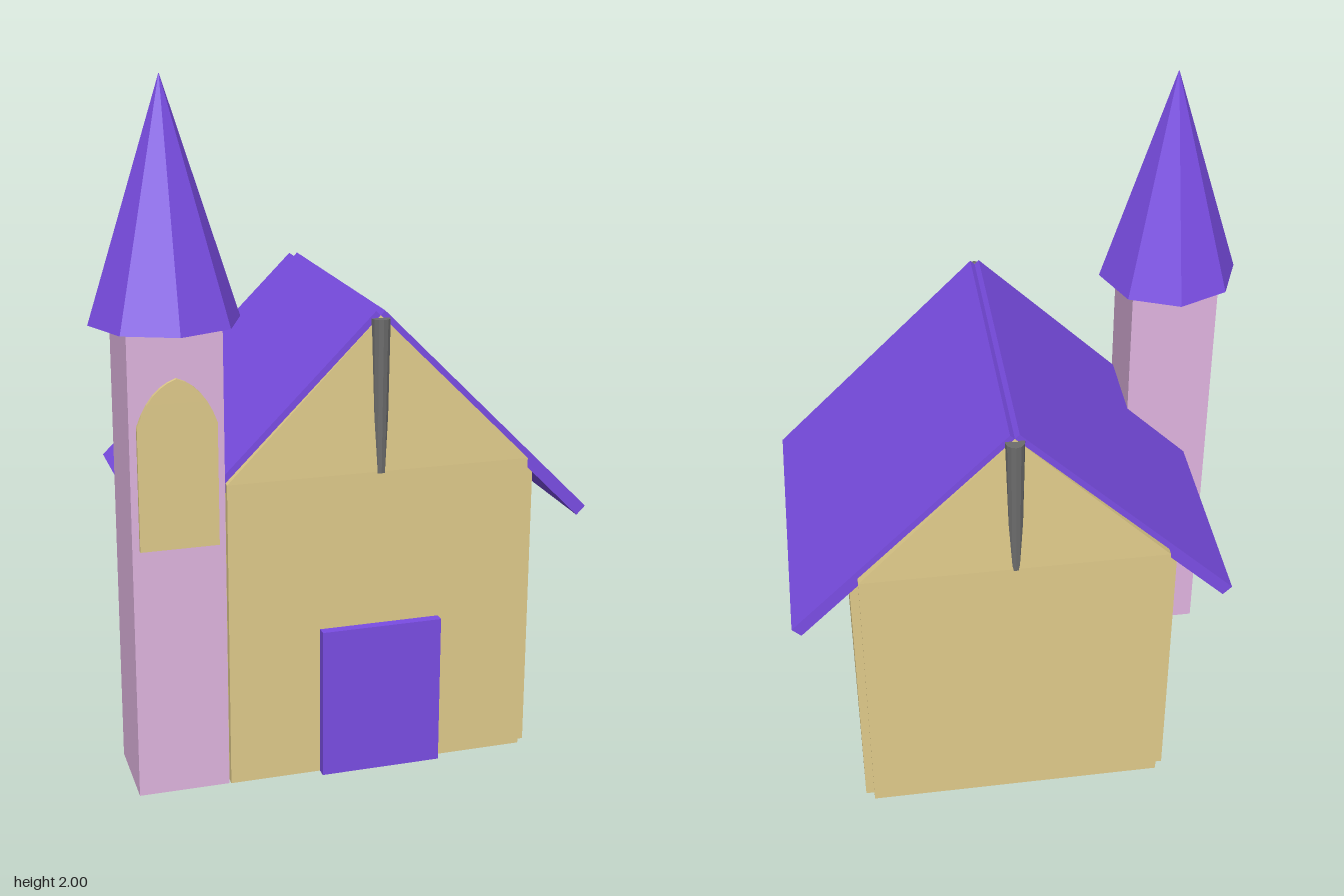
import * as THREE from 'three';

const mat = (color) => new THREE.MeshStandardMaterial({ color, flatShading: true });

export function createModel() {
  const model = new THREE.Group();
  const purple = mat(0x7a4de4), tan = mat(0xdfca8a), pink = mat(0xdfb4df), grey = mat(0x6c6c6c);
  const RIDGE = 0.0725, HALF = 0.4425, EAVE = 0.9, PEAK = 1.3425;

  const add = (name, geometry, material) => {
    const mesh = new THREE.Mesh(geometry, material);
    mesh.name = name;
    model.add(mesh);
    return mesh;
  };
  // Box given by its minimum and maximum corners
  const box = (name, material, x0, x1, y0, y1, z0, z1) =>
    add(name, new THREE.BoxGeometry(x1 - x0, y1 - y0, z1 - z0), material)
      .position.set((x0 + x1) / 2, (y0 + y1) / 2, (z0 + z1) / 2);
  // Outline in the xy plane, extruded from z0 to z1
  const slab = (shape, z0, z1) =>
    new THREE.ExtrudeGeometry(shape, { depth: z1 - z0, bevelEnabled: false, curveSegments: 6 }).translate(0, 0, z0);
  const polygon = (points) => new THREE.Shape(points.map(([x, y]) => new THREE.Vector2(x, y)));

  // Hollow house: four walls, open below
  box('frontWall', tan, RIDGE - HALF, RIDGE + HALF, 0, EAVE, 0.405, 0.427);
  box('backWall', tan, RIDGE - HALF, RIDGE + HALF, 0, EAVE, -0.505, -0.48);
  box('leftWall', tan, RIDGE + HALF, RIDGE + HALF + 0.025, 0, 0.87, -0.48, 0.405);
  box('rightWall', tan, RIDGE - HALF - 0.025, RIDGE - HALF, 0, 0.87, -0.48, 0.405);

  // Gables, their outer faces leaning inward towards the ridge
  for (const [name, inner, outer] of [['frontGable', 0.405, 0.427], ['backGable', -0.48, -0.505]]) {
    const triangle = polygon([[RIDGE - HALF, EAVE], [RIDGE + HALF, EAVE], [RIDGE, PEAK]]);
    const g = slab(triangle, Math.min(inner, outer), Math.max(inner, outer));
    const p = g.attributes.position;
    for (let i = 0; i < p.count; i++) {
      const t = (p.getY(i) - EAVE) / (PEAK - EAVE);
      p.setZ(i, inner + (p.getZ(i) - inner) * (1 - 0.8 * t));
    }
    g.computeVertexNormals();
    add(name, g, tan);
  }

  // Two roof panels crossing at the ridge
  for (const [name, s] of [['roofLeft', 1], ['roofRight', -1]]) {
    const section = [[0.013, 1.355], [-0.013, 1.329], [0.613, 0.703], [0.639, 0.729]];
    add(name, slab(polygon(section.map(([x, y]) => [RIDGE + s * x, y])), -0.482, 0.407), purple);
  }

  // Tapered posts at the gable peaks
  for (const [name, z] of [['frontPost', 0.409], ['backPost', -0.486]])
    add(name, new THREE.CylinderGeometry(0.027, 0.021, 0.44, 12), grey).position.set(RIDGE, 1.115, z);

  // Door
  box('door', purple, -0.105, 0.25, 0, 0.445, 0.425, 0.455);

  // Tower with an eight-sided spire
  box('tower', pink, -0.635, -0.375, 0, 1.34, 0.165, 0.425);
  add('spire', new THREE.ConeGeometry(0.21, 0.66, 8), purple).position.set(-0.505, 1.67, 0.295);

  // Arched tower window
  const arch = new THREE.Shape();
  arch.moveTo(-0.615, 0.735);
  arch.lineTo(-0.395, 0.735);
  arch.lineTo(-0.395, 1.085);
  arch.quadraticCurveTo(-0.43, 1.19, -0.505, 1.213);
  arch.quadraticCurveTo(-0.58, 1.19, -0.615, 1.085);
  arch.closePath();
  add('towerWindow', slab(arch, 0.42, 0.437), tan);

  return model;
}
